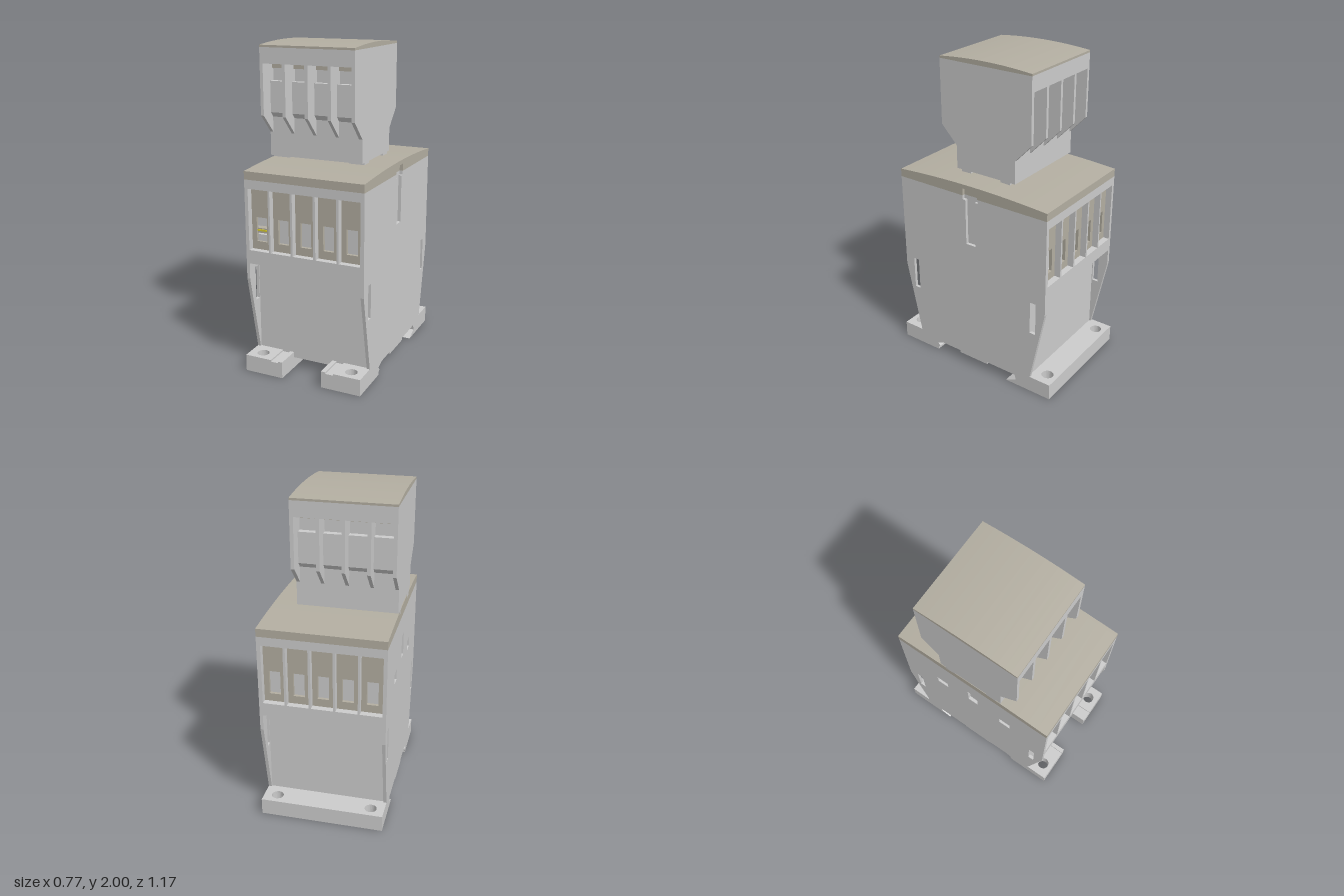
import * as THREE from 'three';

const grey = new THREE.MeshStandardMaterial({ color: 0xcccccc });
const beige = new THREE.MeshStandardMaterial({ color: 0xb3aea1 });
const yellow = new THREE.MeshStandardMaterial({ color: 0xd8cc30 });

const V = (pts) => pts.map(([a, b]) => new THREE.Vector2(a, b));
const rect = (a0, a1, b0, b1) => [[a0, b0], [a1, b0], [a1, b1], [a0, b1]];
// right half of a symmetric outline, listed upwards, closed by its mirror image
const mirrored = (half) => [...half, ...half.map(([z, y]) => [-z, y]).reverse()];

function extrude(outline, holes, depth) {
  const shape = new THREE.Shape(V(outline));
  holes.forEach((h) => shape.holes.push(new THREE.Path(V(h))));
  return new THREE.ExtrudeGeometry(shape, { depth, bevelEnabled: false });
}

export function createModel() {
  const root = new THREE.Group();
  let parent = root;
  const section = (name) => {
    parent = new THREE.Group();
    parent.name = name;
    root.add(parent);
  };
  const add = (name, geo, mat = grey) => {
    const m = new THREE.Mesh(geo, mat);
    m.name = name;
    parent.add(m);
    return m;
  };
  const box = (name, x0, x1, y0, y1, z0, z1, mat) =>
    add(name, new THREE.BoxGeometry(x1 - x0, y1 - y0, Math.abs(z1 - z0))
      .translate((x0 + x1) / 2, (y0 + y1) / 2, (z0 + z1) / 2), mat);
  // (z, y) outline swept from x0 to x1
  const sweepX = (name, outline, x0, x1, mat, holes = []) =>
    add(name, extrude(outline, holes, x1 - x0).rotateY(-Math.PI / 2).translate(x1, 0, 0), mat);
  // (x, y) plate lying between z0 and z1 on the front (s = 1) or back (s = -1)
  const plateZ = (name, outline, holes, s, z0, z1, mat) =>
    add(name, extrude(outline, holes, z1 - z0).translate(0, 0, s > 0 ? z0 : -z1), mat);
  // block with vertical screw holes
  const footBlock = (name, x0, x1, z0, z1, holes) => {
    const rings = holes.map(([cx, cz]) => Array.from({ length: 24 }, (_, i) => {
      const a = (i / 24) * Math.PI * 2;
      return [cx + 0.0375 * Math.cos(a), -cz + 0.0375 * Math.sin(a)];
    }));
    add(name, extrude(rect(x0, x1, -z1, -z0), rings, 0.105).rotateX(-Math.PI / 2).translate(0, 0.005, 0));
  };
  // gently domed lid outline
  const dome = (w, yEdge, yTop) => Array.from({ length: 17 }, (_, i) => {
    const t = 1 - i / 8;
    return [w * t, yEdge + (yTop - yEdge) * (1 - t * t)];
  });

  // Mounting base
  section('base');
  for (const s of [-1, 1]) {
    const span = (a, b) => (s > 0 ? [a, b] : [-b, -a]);
    footBlock('frontFoot', ...span(0.21, 0.385), 0.31, 0.585, [[s * 0.3, 0.5175]]);
    box('frontFootGroove', ...span(0.16, 0.21), 0.005, 0.1, 0.31, 0.585);
    box('frontFootInner', ...span(0.132, 0.16), 0.005, 0.11, 0.31, 0.585);
    sweepX('frontRailLip', [[0.32, 0.005], [0.32, 0.1], [0.25, 0.075], [0.3, 0.055], [0.285, 0.035], [0.3, 0.02], [0.3, 0.005]].reverse(),
      ...span(0.132, 0.385));
  }
  footBlock('backFoot', -0.385, 0.385, -0.585, -0.36, [[-0.3, -0.5175], [0.3, -0.5175]]);
  sweepX('backRailLip', [[-0.37, 0.005], [-0.26, 0.005], [-0.335, 0.04], [-0.33, 0.065], [-0.31, 0.1], [-0.37, 0.1]], -0.385, 0.385);
  box('railPad', -0.385, 0.385, 0.06, 0.08, -0.11, 0.11);
  add('railBoss', new THREE.CylinderGeometry(0.07, 0.07, 0.03, 32).translate(0, 0.05, 0));

  // Main housing: inner core, overhanging shelf and side walls
  section('mainHousing');
  box('core', -0.365, 0.365, 0.075, 0.72, -0.43, 0.43);
  box('upperCore', -0.365, 0.365, 0.7, 1.22, -0.4, 0.4);
  const sideHalf = [[0.43, 0.075], [0.44, 0.11], [0.54, 0.6], [0.54, 1.22]];
  const slots = [rect(0.435, 0.475, 0.44, 0.655), rect(-0.475, -0.435, 0.44, 0.655)];
  const keyway = [[0.055, 1.22], [0.055, 1.195], [0.035, 1.195], [0.035, 0.9]];
  sweepX('leftSideWall', mirrored([...sideHalf, ...keyway]), 0.365, 0.385, grey, slots);
  sweepX('rightSideWall', mirrored(sideHalf), -0.385, -0.365, grey, [
    ...slots,
    rect(-0.035, 0.035, 0.92, 1.07),
    rect(0.2, 0.28, 0.86, 0.93),
    rect(-0.28, -0.2, 0.86, 0.93),
  ]);

  // Domed lid, its left end notched by the keyway head
  const lid = dome(0.54, 1.27, 1.292);
  const lidOutline = [[-0.54, 1.22], [0.54, 1.22], ...lid];
  sweepX('lid', lidOutline, -0.385, 0.365, beige);
  sweepX('lidEnd', [[-0.54, 1.22], [-0.055, 1.22], [-0.055, 1.265], [0.055, 1.265], [0.055, 1.22], [0.54, 1.22], ...lid],
    0.365, 0.385, beige);

  // Terminal faces, front and back
  const centres = [-0.296, -0.15, -0.002, 0.146, 0.294];
  const windows = centres.map((c) => rect(c - 0.067, c + 0.067, 0.785, 1.165));
  const openings = centres.map((c) => rect(c - 0.035, c + 0.035, 0.835, 0.985));
  for (const s of [1, -1]) {
    section(s > 0 ? 'frontTerminals' : 'backTerminals');
    plateZ('terminalFrame', rect(-0.365, 0.365, 0.7, 1.22), windows, s, 0.5, 0.54);
    plateZ('terminalCover', rect(-0.365, 0.365, 0.75, 1.2), openings, s, 0.48, 0.5, beige);
    box('terminalShelf', -0.365, 0.365, 0.7, 0.76, s * 0.4, s * 0.505);
    box('terminalCeiling', -0.365, 0.365, 1.18, 1.22, s * 0.4, s * 0.505);
  }

  // Position indicator in the first front terminal
  section('indicator');
  const cx = centres[0];
  box('indicatorLower', cx - 0.035, cx + 0.035, 0.835, 0.875, 0.4, 0.485);
  box('indicatorBar', cx - 0.035, cx + 0.035, 0.885, 0.915, 0.4, 0.488, beige);
  box('indicatorStripe', cx - 0.035, cx + 0.035, 0.898, 0.908, 0.4, 0.495, yellow);
  box('indicatorUpper', cx - 0.035, cx + 0.035, 0.93, 0.985, 0.4, 0.485);

  // Add-on contact block
  section('contactBlock');
  const x0 = -0.385, x1 = 0.23;
  sweepX('blockCore', mirrored([
    [0.215, 1.303], [0.215, 1.545], [0.24, 1.575], [0.24, 1.765],
    [0.2, 1.765], [0.2, 1.875], [0.325, 1.875], [0.325, 1.97],
  ]), x0, x1);
  const rib = mirrored([[0.215, 1.303], [0.215, 1.45], [0.325, 1.565], [0.325, 1.97]]);
  for (const [a, b] of [[x0, -0.365], [-0.238, -0.217], [-0.09, -0.069], [0.058, 0.079], [0.208, x1]])
    sweepX('blockRib', rib, a, b);
  for (const s of [1, -1]) box('pocketTrim', x0 + 0.02, x1 - 0.022, 1.84, 1.874, s * 0.19, s * 0.215, beige);
  sweepX('blockLid', [[-0.325, 1.97], [0.325, 1.97], ...dome(0.325, 1.983, 2)], x0, x1, beige);
  for (const s of [1, -1]) {
    box('blockFoot', x0, -0.27, 1.27, 1.31, s * 0.11, s * 0.18);
    box('blockFoot', 0.13, x1, 1.27, 1.31, s * 0.11, s * 0.18);
  }

  return root;
}
